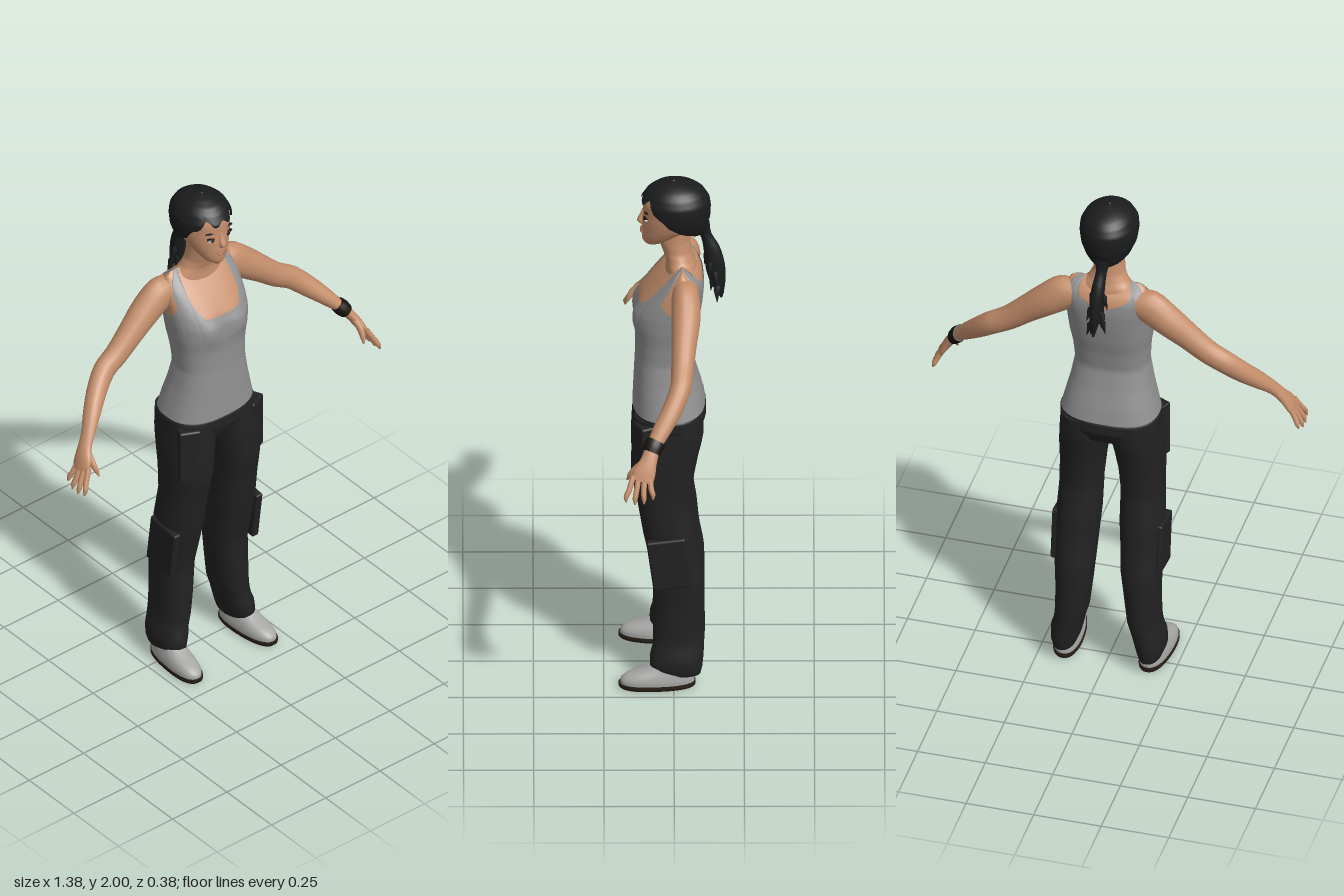
import * as THREE from 'three';
import { RoundedBoxGeometry } from 'three/addons/geometries/RoundedBoxGeometry.js';

const mat = (name, color, side = THREE.FrontSide) => {
  const m = new THREE.MeshStandardMaterial({ color, side });
  m.name = name;
  return m;
};

// linear lookup in rows sorted by their first value
function lookup(rows, k) {
  if (k <= rows[0][0]) return rows[0];
  for (let i = 1; i < rows.length; i++) {
    const a = rows[i - 1], b = rows[i];
    if (k <= b[0]) {
      const t = (k - a[0]) / (b[0] - a[0]);
      return a.map((v, j) => v + (b[j] - v) * t);
    }
  }
  return rows[rows.length - 1];
}

// skin a list of closed rings; ends are closed with fans when capped
function skin(rings, capped = true) {
  const n = rings[0].length, pos = [], idx = [];
  rings.forEach(r => r.forEach(p => pos.push(p.x, p.y, p.z)));
  for (let i = 0; i < rings.length - 1; i++)
    for (let j = 0; j < n; j++) {
      const a = i * n + j, b = i * n + (j + 1) % n;
      idx.push(a, b, a + n, b, b + n, a + n);
    }
  if (capped) [0, rings.length - 1].forEach(i => {
    const c = new THREE.Vector3(), base = pos.length / 3;
    rings[i].forEach(p => c.addScaledVector(p, 1 / n));
    [...rings[i], c].forEach(p => pos.push(p.x, p.y, p.z));
    for (let j = 0; j < n; j++) {
      const a = base + j, b = base + (j + 1) % n;
      i ? idx.push(a, b, base + n) : idx.push(b, a, base + n);
    }
  });
  const g = new THREE.BufferGeometry();
  g.setAttribute('position', new THREE.Float32BufferAttribute(pos, 3));
  g.setIndex(idx);
  g.computeVertexNormals();
  return g;
}

// upright shell from rows [y, half width, front z, back z]; lo and hi give its edges by angle in degrees
function shell(rows, lo, hi, { power = 1, grow = 0, n = 40, m = 24, capped = true, shape } = {}) {
  const f = v => Math.sign(v) * Math.abs(v) ** power, rings = [];
  for (let i = 0; i <= m; i++) {
    const ring = [];
    for (let j = 0; j < n; j++) {
      let deg = j * 360 / n;
      if (deg > 180) deg -= 360;
      const a = deg * Math.PI / 180, y0 = lo(deg), y = y0 + (hi(deg) - y0) * i / m;
      const [, rx, zf, zb] = lookup(rows, y);
      const p = new THREE.Vector3(
        Math.max(rx + grow, 0.001) * f(Math.sin(a)), y,
        (zf + zb) / 2 + Math.max((zf - zb) / 2 + grow, 0.001) * f(Math.cos(a)));
      if (shape) shape(p, Math.cos(a));
      ring.push(p);
    }
    rings.push(ring);
  }
  return skin(rings, capped);
}

// tapered limb through rows [x, y, z, thickness radius, z-side radius]
function limb(rows, n = 16, sub = 3) {
  const c = rows.map(r => new THREE.Vector3(r[0], r[1], r[2]));
  const base = rows.map((r, i) => {
    const t = c[Math.min(i + 1, c.length - 1)].clone().sub(c[Math.max(i - 1, 0)]).normalize();
    const w = new THREE.Vector3(0, 0, 1).addScaledVector(t, -t.z).normalize();
    const u = w.clone().cross(t);
    return Array.from({ length: n }, (_, j) => {
      const a = j / n * Math.PI * 2;
      return c[i].clone().addScaledVector(u, r[3] * Math.cos(a)).addScaledVector(w, r[4] * Math.sin(a));
    });
  });
  const curves = base[0].map((_, j) => new THREE.CatmullRomCurve3(base.map(r => r[j])));
  const m = (rows.length - 1) * sub;
  return skin(Array.from({ length: m + 1 }, (_, i) => curves.map(k => k.getPoint(i / m))));
}

export function createModel() {
  const root = new THREE.Group();
  const M = {
    skin: mat('skin', 0xc58f6c), shirt: mat('shirt grey', 0x909090, THREE.DoubleSide),
    pants: mat('trouser black', 0x222223), hair: mat('hair black', 0x1b1c1d, THREE.DoubleSide),
    shoe: mat('shoe grey', 0xa6a6a4), sole: mat('sole brown', 0x2a2018),
    white: mat('eye white', 0xd8d4cc), dark: mat('eye dark', 0x17120f), lip: mat('lip', 0xa8684f),
  };
  const add = (name, geo, m, parent = root) => {
    const mesh = new THREE.Mesh(geo, m);
    mesh.name = name;
    parent.add(mesh);
    return mesh;
  };
  const k = v => () => v;
  const blob = (name, m, p, s, parent) => {
    const b = add(name, new THREE.SphereGeometry(1, 16, 10), m, parent);
    b.position.set(...p);
    b.scale.set(...s);
    return b;
  };

  // torso and tank top share one profile
  const torso = [
    [1.08, .182, .148, -.115], [1.15, .165, .145, -.10], [1.22, .148, .142, -.08], [1.30, .134, .138, -.062],
    [1.38, .140, .138, -.075], [1.44, .150, .142, -.09], [1.50, .156, .138, -.10], [1.54, .158, .12, -.105],
    [1.58, .16, .09, -.108], [1.62, .16, .055, -.105], [1.65, .155, .025, -.09], [1.675, .142, 0, -.06], [1.69, .12, -.03, -.03]];
  const bust = (p, front) => {
    if (front > 0) p.z += .013 * Math.exp(-(((Math.abs(p.x) - .07) / .045) ** 2) - ((p.y - 1.475) / .05) ** 2);
  };
  const edge = [[0, 1.53], [24, 1.535], [35, 1.58], [40, 1.69], [58, 1.69], [66, 1.57], [90, 1.53],
    [112, 1.57], [121, 1.69], [141, 1.69], [149, 1.64], [180, 1.60]];
  add('torso', shell(torso, k(1.4), k(1.688), { power: .8, grow: -.004, n: 72, shape: bust }), M.skin);
  add('tankTop', shell(torso, k(1.095), d => lookup(edge, Math.abs(d))[1],
    { power: .8, n: 120, m: 44, capped: false, shape: bust }), M.shirt);

  // neck and head
  add('neck', shell([[1.64, .11, .03, -.085], [1.67, .095, .028, -.078], [1.69, .074, .03, -.07], [1.72, .058, .04, -.062],
    [1.76, .054, .055, -.058], [1.81, .054, .06, -.06]], k(1.64), k(1.81)), M.skin);
  add('head', shell([[1.745, .018, .10, .05], [1.76, .04, .112, .02], [1.79, .061, .115, -.03], [1.82, .076, .114, -.07],
    [1.85, .086, .113, -.09], [1.88, .092, .11, -.10], [1.92, .094, .11, -.10], [1.95, .086, .1, -.09], [1.98, .05, .06, -.05]],
  k(1.745), k(1.98)), M.skin);
  add('nose', limb([[0, 1.885, .104, .006, .008], [0, 1.86, .113, .01, .008], [0, 1.838, .12, .013, .011], [0, 1.826, .112, .008, .006]]), M.skin);
  blob('upperLip', M.lip, [0, 1.803, .113], [.021, .004, .007]);
  blob('lowerLip', M.lip, [0, 1.796, .113], [.018, .005, .007]);

  // hair cap with an uneven fringe
  const hairline = [[0, 1.93], [20, 1.928], [36, 1.94], [55, 1.905], [70, 1.86], [95, 1.825], [130, 1.80], [180, 1.785]];
  add('hair', shell([[1.78, .055, .04, -.10], [1.82, .083, .085, -.118], [1.86, .099, .11, -.13], [1.90, .105, .118, -.132],
    [1.93, .103, .117, -.128], [1.96, .088, .098, -.11], [1.98, .067, .072, -.083], [1.993, .038, .038, -.045], [2, .003, .003, -.003]],
  d => lookup(hairline, Math.abs(d))[1] + (Math.abs(d) < 75 ? .009 * Math.sin(d * .19 + 1) : 0), k(2),
  { n: 72, m: 30, capped: false }), M.hair);

  // ponytail with ragged tufts
  const tail = new THREE.Group();
  tail.name = 'ponytail';
  root.add(tail);
  add('tail', limb([[0, 1.82, -.10, .03, .03], [0, 1.775, -.115, .02, .02], [.005, 1.72, -.135, .024, .03], [.01, 1.65, -.148, .024, .036],
    [.012, 1.59, -.158, .018, .028], [.015, 1.525, -.17, .004, .004]], 10), M.hair, tail);
  for (let i = 0; i < 12; i++) {
    const a = i * 2.4, y = 1.73 - i * .0125, dx = Math.sin(a), dz = Math.cos(a);
    const cx = .008, cz = -.13 - i * .0025;
    add('tuft', limb([[cx, y, cz, .012, .012], [cx + dx * .024, y - .03, cz + dz * .014, .012, .012],
      [cx + dx * .036, y - .075, cz - .004 + dz * .024, .001, .001]], 5, 1), M.hair, tail);
  }

  // hips
  add('hips', shell([[.97, .12, .06, -.03], [1.0, .165, .13, -.09], [1.05, .183, .148, -.115], [1.09, .183, .147, -.114],
    [1.11, .165, .13, -.095]], k(.97), k(1.11), { power: .85 }), M.pants);

  // leg rows: y, centre x, centre z, half width, half depth
  const leg = [[.05, .158, -.015, .04, .08], [.075, .158, -.008, .05, .093], [.12, .153, -.01, .056, .096], [.16, .143, -.016, .054, .091],
    [.2, .134, -.018, .058, .092], [.3, .127, -.018, .063, .092], [.42, .122, -.02, .072, .088], [.52, .12, 0, .076, .09],
    [.62, .117, .015, .08, .096], [.75, .113, .035, .077, .097], [.85, .108, .04, .081, .113], [.93, .102, .032, .087, .12],
    [1.0, .094, .022, .09, .127], [1.085, .09, .017, .088, .124]];

  for (const s of [1, -1]) {
    const side = s > 0 ? 'left' : 'right';
    const flip = rows => rows.map(([x, ...r]) => [x * s, ...r]);

    // face details
    blob(side + 'EyeWhite', M.white, [s * .037, 1.862, .099], [.016, .0075, .008]);
    blob(side + 'Iris', M.dark, [s * .036, 1.862, .103], [.0085, .0075, .006]);
    blob(side + 'Lashes', M.dark, [s * .038, 1.869, .1], [.02, .004, .009]).rotation.z = s * .08;
    blob(side + 'Brow', M.hair, [s * .04, 1.892, .097], [.021, .003, .008]).rotation.z = s * .1;

    // arm and palm
    add(side + 'Arm', limb(flip([[.10, 1.615, -.04, .05, .045], [.155, 1.605, -.042, .066, .05], [.22, 1.56, -.043, .06, .052],
      [.30, 1.495, -.036, .05, .045], [.37, 1.437, -.03, .045, .04], [.43, 1.40, -.024, .043, .038], [.49, 1.345, .005, .038, .036],
      [.54, 1.295, .04, .03, .033], [.585, 1.245, .073, .021, .027], [.615, 1.205, .09, .018, .03], [.635, 1.17, .105, .016, .04],
      [.65, 1.14, .115, .011, .04]])), M.skin);

    // fingers and thumb
    for (let i = 0; i < 4; i++) {
      const z = .085 + i * .02, spread = (i - 1.5) * .006, len = [.8, .97, 1, .9][i];
      add(side + 'Finger', limb(flip([[.64, 1.16, z, .01, .01], [.645 + .022 * len, 1.15 - .04 * len, z + spread + .006, .01, .01],
        [.645 + .034 * len, 1.15 - .065 * len, z + spread * 2 + .008, .009, .009],
        [.645 + .04 * len, 1.15 - .085 * len, z + spread * 2 + .008, .003, .003]]), 8, 2), M.skin);
    }
    add(side + 'Thumb', limb(flip([[.612, 1.205, .1, .012, .014], [.618, 1.175, .135, .012, .014], [.615, 1.15, .155, .01, .011],
      [.61, 1.125, .167, .003, .003]]), 8), M.skin);

    // trouser leg with pockets
    const g = shell(leg.map(r => [r[0], r[3], r[2] + r[4], r[2] - r[4]]), k(.05), k(1.085),
      { power: .88, m: 40, n: 32, shape: p => { p.x += s * lookup(leg, p.y)[1]; } });
    add(side + 'TrouserLeg', g, M.pants);
    const pocket = (name, size, p, r) => {
      const b = add(name, new RoundedBoxGeometry(...size, 2, .008), M.pants);
      b.position.set(s * p[0], p[1], p[2]);
      b.rotation.set(r[0], s * r[1], s * r[2]);
    };
    pocket(side + 'HipPocket', [.08, .22, .06], [.145, .965, .103], [0, .45, 0]);
    pocket(side + 'CargoPocket', [.03, .2, .14], [.189, .52, .016], [.13, 0, 0]);

    // shoe
    const shoe = new THREE.Group();
    shoe.name = side + 'Shoe';
    shoe.position.x = s * .16;
    shoe.rotation.y = s * .08;
    root.add(shoe);
    add('upper', shell([[.015, .05, .192, -.074], [.035, .05, .19, -.073], [.052, .046, .17, -.07], [.068, .041, .12, -.068],
      [.085, .037, .08, -.065], [.11, .032, .05, -.06]], k(.015), k(.11), { power: .85, m: 14 }), M.shoe, shoe);
    add('sole', shell([[0, .048, .19, -.074], [.006, .053, .197, -.078], [.02, .053, .198, -.078]], k(0), k(.02),
      { power: .85, m: 3 }), M.sole, shoe);
  }

  // wristband on the left arm
  add('wristband', limb([[.572, 1.262, .063, .028, .034], [.585, 1.246, .073, .03, .035], [.597, 1.23, .081, .027, .034]]), M.dark);
  return root;
}
